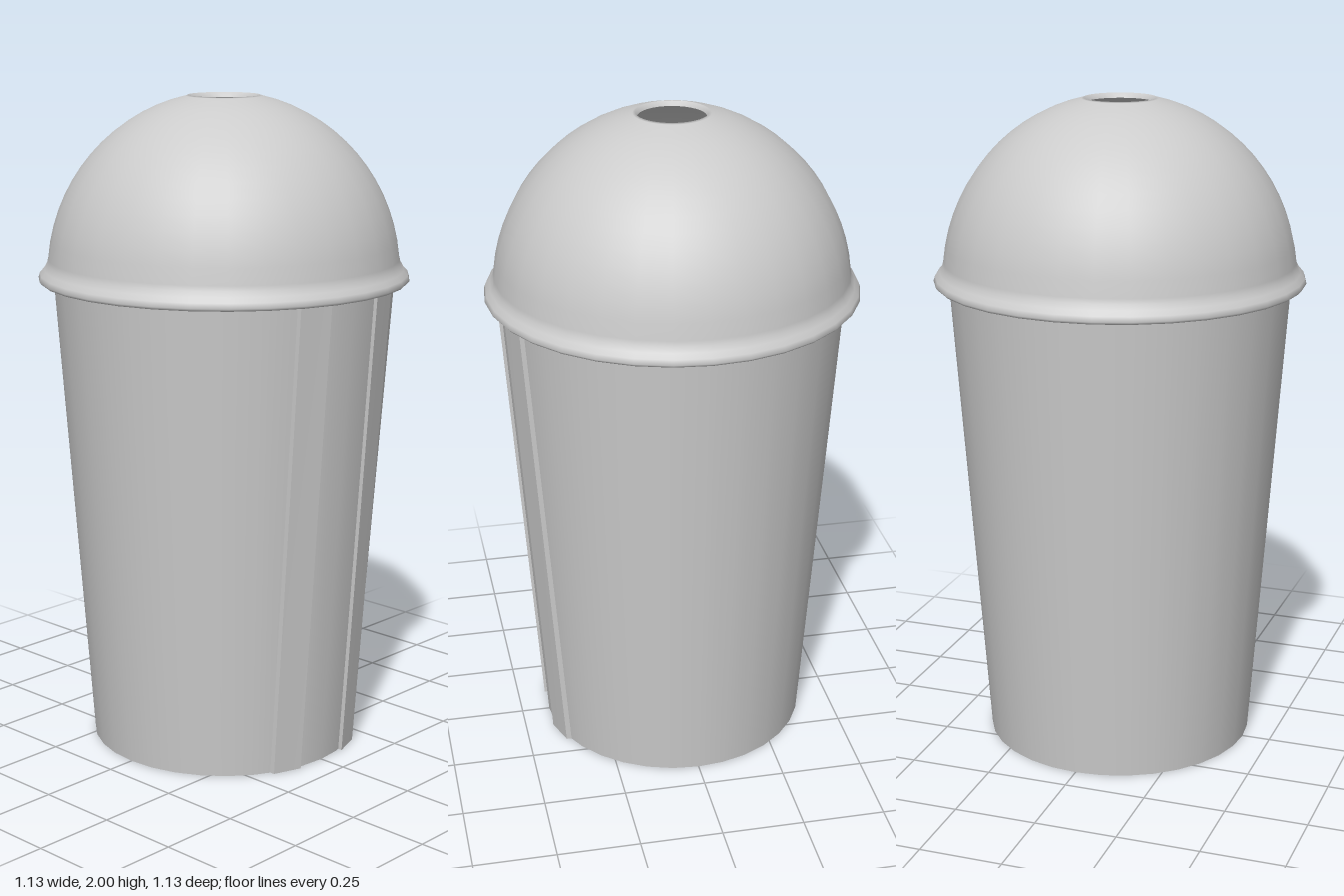
import * as THREE from 'three';

const SIDES = 32;
const CUP = { bottom: 0.412, top: 0.517, height: 1.445 };

function lathe(name, points, material) {
  const profile = points.map(([r, y]) => new THREE.Vector2(r, y));
  const mesh = new THREE.Mesh(new THREE.LatheGeometry(profile, SIDES), material);
  mesh.name = name;
  return mesh;
}

// Thin raised rib that follows the tapering cup wall
function ribGeometry(side) {
  const geo = new THREE.BoxGeometry(1, 1, 1);
  const pos = geo.attributes.position;
  for (let i = 0; i < pos.count; i++) {
    const v = pos.getY(i) + 0.5;
    const far = pos.getX(i) * side > 0;
    const x = far ? THREE.MathUtils.lerp(0.183, 0.2, v) : THREE.MathUtils.lerp(0.096, 0.101, v);
    const r = THREE.MathUtils.lerp(CUP.bottom, CUP.top, v) + (pos.getZ(i) > 0 ? 0.012 : -0.008);
    pos.setXYZ(i, x * side, v * CUP.height, Math.sqrt(r * r - x * x));
  }
  geo.computeVertexNormals();
  return geo;
}

export function createModel() {
  const group = new THREE.Group();
  const solid = new THREE.MeshStandardMaterial({ color: 0xcccccc });
  const thin = new THREE.MeshStandardMaterial({ color: 0xcccccc, side: THREE.DoubleSide });

  // Tapered cup wall, open at both ends
  group.add(lathe('cupWall', [[CUP.bottom, 0], [CUP.top, CUP.height]], thin));

  // Floor, set slightly above the foot of the wall
  const floor = new THREE.Mesh(new THREE.CircleGeometry(CUP.bottom + 0.002, SIDES), thin);
  floor.name = 'cupFloor';
  floor.rotation.x = -Math.PI / 2;
  floor.position.y = 0.035;
  group.add(floor);

  // Pair of ribs on the front
  for (const side of [-1, 1]) {
    const rib = new THREE.Mesh(ribGeometry(side), solid);
    rib.name = side > 0 ? 'leftFrontRib' : 'rightFrontRib';
    group.add(rib);
  }

  // Domed lid: rolled rim, hemisphere and an open straw hole with a small lip
  const lid = [[0.515, 1.447], [0.556, 1.447], [0.563, 1.455], [0.558, 1.47], [0.545, 1.484], [0.536, 1.5]];
  const start = 0.1, end = Math.acos(0.115 / 0.535);
  for (let i = 0; i <= 14; i++) {
    const t = THREE.MathUtils.lerp(start, end, i / 14);
    lid.push([0.535 * Math.cos(t), 1.46 + 0.55 * Math.sin(t)]);
  }
  lid.push([0.108, 2.0], [0.101, 1.985]);
  group.add(lathe('domeLid', lid, thin));

  return group;
}
